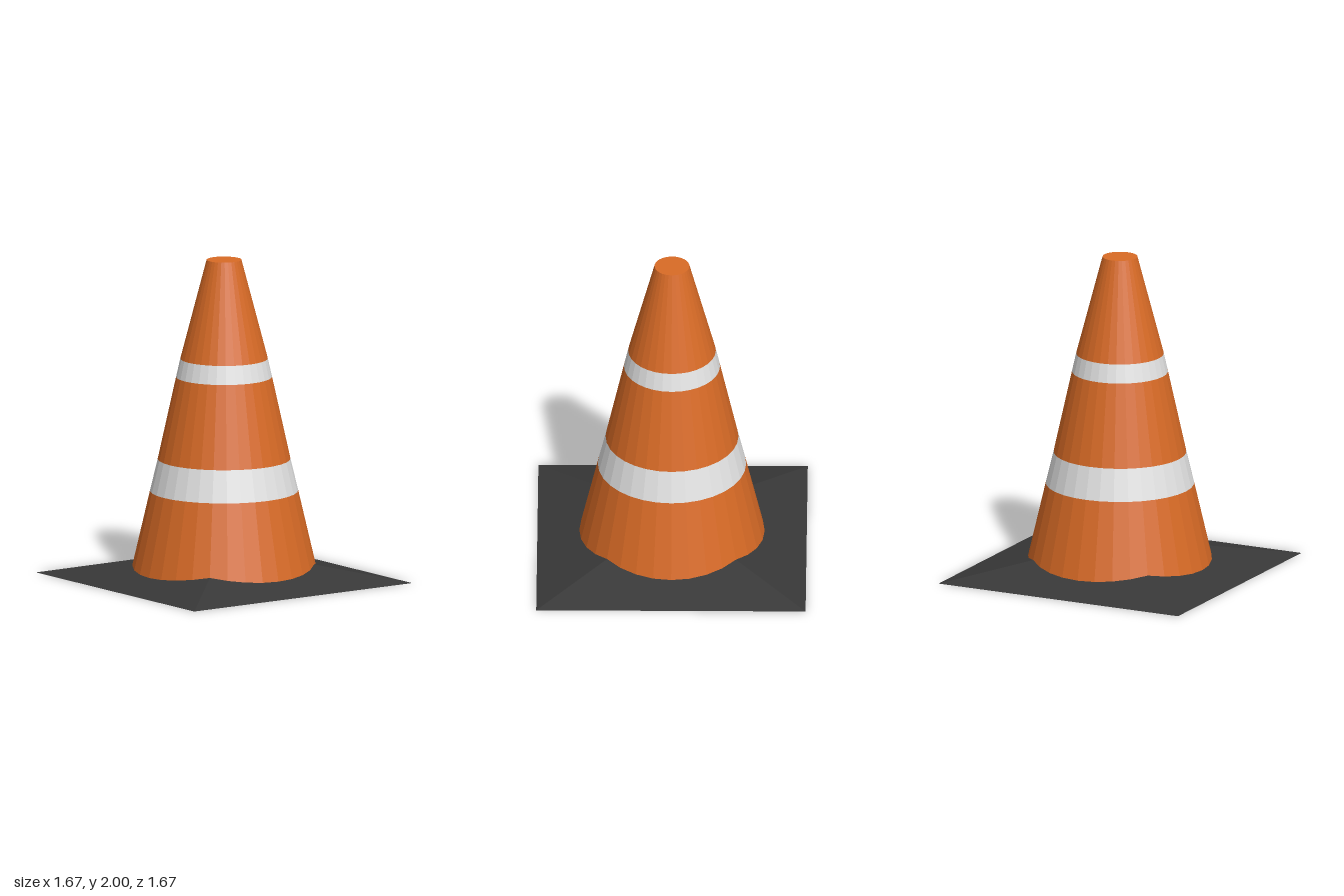
import * as THREE from 'three';

export function createModel() {
  const model = new THREE.Group();
  const material = (name, color) => new THREE.MeshStandardMaterial({ name, color, flatShading: true });
  const orange = material('orange', 0xd96b26);
  const white = material('white', 0xe4e4e4);
  const rubber = material('dark rubber', 0x383838);

  const add = (name, geometry, mat, y) => {
    const mesh = new THREE.Mesh(geometry, mat);
    mesh.name = name;
    mesh.position.y = y;
    model.add(mesh);
    return mesh;
  };

  // Shallow square pyramid whose peak is hidden inside the cone
  const half = 0.833, peak = 0.192;
  const base = new THREE.ConeGeometry(half * Math.SQRT2, peak, 4);
  base.rotateY(Math.PI / 4);
  add('base', base, rubber, peak / 2);

  // Cone sections from bottom to top: name, material, lower [radius, y], upper [radius, y]
  const sections = [
    ['lowerCone', orange, [0.586, 0.005], [0.459, 0.55]],
    ['lowerStripe', white, [0.459, 0.55], [0.411, 0.75]],
    ['middleCone', orange, [0.411, 0.75], [0.297, 1.265]],
    ['upperStripe', white, [0.297, 1.265], [0.271, 1.38]],
    ['upperCone', orange, [0.271, 1.38], [0.108, 2]],
  ];
  for (const [name, mat, [r0, y0], [r1, y1]] of sections) {
    add(name, new THREE.CylinderGeometry(r1, r0, y1 - y0, 32, 1, true), mat, (y0 + y1) / 2);
  }

  // Flat closed tip
  add('tipCap', new THREE.CircleGeometry(0.108, 32).rotateX(-Math.PI / 2), orange, 2);

  return model;
}
